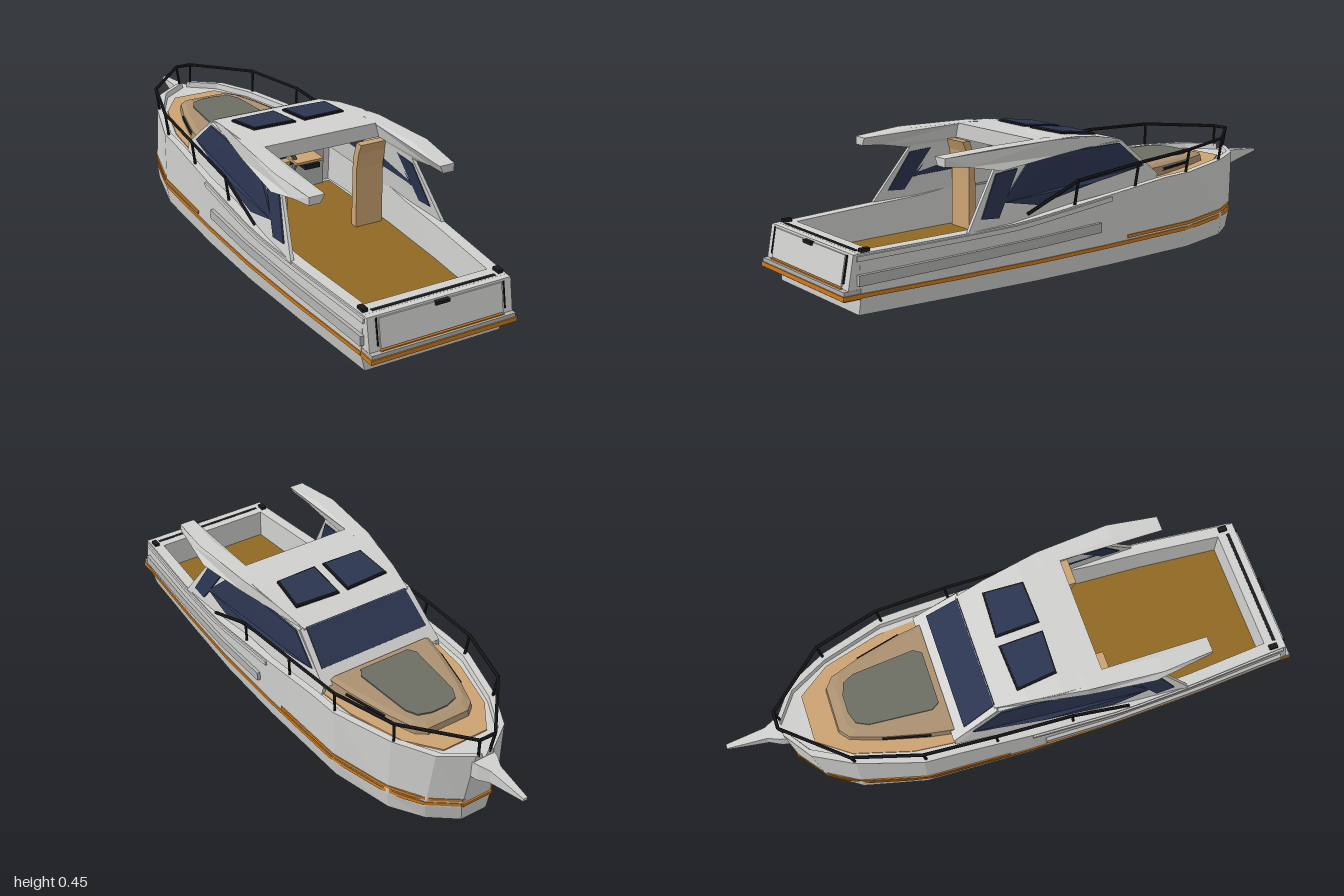
import * as THREE from 'three';

const mat = (name, color) => {
  const m = new THREE.MeshStandardMaterial({ color, flatShading: true, side: THREE.DoubleSide });
  m.name = name;
  return m;
};

// piecewise linear lookup in rows [z, a, b, ...] sorted by falling z
function look(table, z, col = 1) {
  if (z >= table[0][0]) return table[0][col];
  for (let i = 1; i < table.length; i++) {
    const p = table[i - 1], q = table[i];
    if (z >= q[0]) return p[col] + (q[col] - p[col]) * (p[0] - z) / (p[0] - q[0]);
  }
  return table[table.length - 1][col];
}

// hull half widths by station: z, bottom, waterline, gunwale
const HULL = [
  [0.94, 0.243, 0.258, 0.255], [0.6, 0.265, 0.28, 0.283], [0.3, 0.28, 0.292, 0.298],
  [0, 0.28, 0.29, 0.294], [-0.38, 0.265, 0.275, 0.275], [-0.6, 0.21, 0.217, 0.207],
  [-0.72, 0.14, 0.15, 0.135], [-0.79, 0.05, 0.058, 0.035],
];
const SHEER = [[0.95, 0.19], [0.4, 0.205], [0, 0.245], [-0.26, 0.268], [-0.82, 0.285]];
const sheer = z => look(SHEER, z);
const rake = (z, y) => (z < -0.7 ? z - (y - 0.14) * 0.1 : z);
function hullX(z, y) {
  const b = look(HULL, z, 1), m = look(HULL, z, 2), t = look(HULL, z, 3);
  return y < 0.06 ? b + (m - b) * y / 0.06 : m + (t - m) * (y - 0.06) / (sheer(z) - 0.06);
}
// cabin side surface, leaning inwards and narrowing forwards
const sideX = (z, y) => 0.28 - 0.2 * (y - 0.2) - Math.max(0, 0.1 - z) * 0.1;

// skin over closed cross-sections, with end caps
function loft(rings) {
  const n = rings[0].length, pos = rings.flat(2), idx = [];
  for (let i = 0; i < rings.length - 1; i++) for (let j = 0; j < n; j++) {
    const a = i * n + j, b = i * n + (j + 1) % n;
    idx.push(a, b, a + n, b, b + n, a + n);
  }
  [0, rings.length - 1].forEach((r, e) => {
    const c = pos.length / 3;
    for (let k = 0; k < 3; k++) pos.push(rings[r].reduce((s, p) => s + p[k], 0) / n);
    for (let j = 0; j < n; j++) {
      const a = r * n + j, b = r * n + (j + 1) % n;
      if (e) idx.push(c, a, b); else idx.push(c, b, a);
    }
  });
  const g = new THREE.BufferGeometry();
  g.setAttribute('position', new THREE.Float32BufferAttribute(pos, 3));
  g.setIndex(idx);
  g.computeVertexNormals();
  return g;
}

// flat outline extruded by depth, each vertex then placed by a rule (u, v, d) -> [x, y, z]
function plate(pts, depth, rule) {
  const shape = new THREE.Shape(pts.map(p => new THREE.Vector2(...p)));
  const g = new THREE.ExtrudeGeometry(shape, { depth, bevelEnabled: false });
  const p = g.attributes.position;
  for (let i = 0; i < p.count; i++) p.setXYZ(i, ...rule(p.getX(i), p.getY(i), p.getZ(i)));
  g.computeVertexNormals();
  return g;
}

// strip following the hull side between two heights
function band(z0, z1, y0, y1, off, steps = 24) {
  const rings = [];
  for (let i = 0; i <= steps; i++) {
    const z = z0 + (z1 - z0) * i / steps, a = y0(z), b = y1(z);
    const xa = hullX(z, a), xb = hullX(z, b);
    rings.push([[xa - 0.01, a, rake(z, a)], [xa + off, a, rake(z, a)],
      [xb + off, b, rake(z, b)], [xb - 0.01, b, rake(z, b)]]);
  }
  return loft(rings);
}

function rod(a, b, r) {
  const path = new THREE.LineCurve3(new THREE.Vector3(...a), new THREE.Vector3(...b));
  return new THREE.TubeGeometry(path, 1, r, 6);
}
const box = (x0, x1, y0, y1, z0, z1) => new THREE.BoxGeometry(x1 - x0, y1 - y0, z1 - z0)
  .translate((x0 + x1) / 2, (y0 + y1) / 2, (z0 + z1) / 2);

export function createModel() {
  const white = mat('white hull', 0xd0d0ce), grey = mat('grey trim', 0xb4b4b2);
  const orange = mat('orange stripe', 0xd07c1e), navy = mat('navy window', 0x2b3550);
  const wood = mat('dark wood floor', 0x8f6822), tan = mat('tan deck', 0xcca372);
  const taupe = mat('taupe coachroof', 0xab9171), glass = mat('smoked skylight', 0x6c6f64);
  const black = mat('black metal', 0x1b1b1d);

  const boat = new THREE.Group();
  boat.name = 'boat';
  const add = (name, g, m, parent = boat) => {
    const mesh = new THREE.Mesh(g, m);
    mesh.name = name;
    parent.add(mesh);
    return mesh;
  };
  const pair = (name, g, m) => {
    add(name + 'Left', g, m);
    add(name + 'Right', g, m).scale.x = -1;
  };

  // hull with gunwales, sunken cockpit and foredeck
  const station = (z, floorY) => {
    const s = sheer(z), t = hullX(z, s), g = z > 0 ? 0.04 : 0.025;
    const half = [[hullX(z, 0), 0], [hullX(z, 0.06), 0.06], [t, s],
      [Math.max(t - g, 0.01), s], [Math.max(t - g - 0.004, 0.008), floorY ?? s - 0.02]];
    const ring = half.map(([x, y]) => [x, y, rake(z, y)]);
    return ring.concat(ring.map(([x, y, zz]) => [-x, y, zz]).reverse());
  };
  const F = 0.083;
  add('hull', loft([station(0.94, sheer(0.94)), station(0.89, sheer(0.89)),
    ...[0.89, 0.6, 0.4, 0.3, 0, -0.12].map(z => station(z, F)),
    ...[-0.12, -0.26, -0.38, -0.6, -0.72, -0.79].map(z => station(z))]), white);
  add('cockpitFloor', plate([[0.215, 0.89], [0.238, 0.6], [0.252, 0.3], [0.25, -0.1],
    [-0.25, -0.1], [-0.252, 0.3], [-0.238, 0.6], [-0.215, 0.89]], 0.004, (x, z, d) => [x, F + d, z]), wood);

  // stripes, rubbing strakes and gunwale lip
  const low = z => 0.057 + (0.95 - z) * 0.006;
  pair('lowerStripe', band(0.94, -0.79, low, z => low(z) + 0.013, 0.004), orange);
  pair('upperStripe', band(-0.08, -0.79, z => low(z) + 0.02, z => low(z) + 0.031, 0.004), orange);
  add('bowStripe', box(-0.058, 0.058, 0.069, 0.08, -0.79, -0.78), orange);
  const strake = z => 0.095 + (0.95 - z) * 0.033;
  pair('rubbingStrake', band(0.95, 0.05, strake, z => strake(z) + 0.033, 0.012), grey);
  pair('gunwaleLip', band(0.95, 0.0, z => sheer(z) - 0.022, z => sheer(z) - 0.006, 0.006), white);

  // transom and swim platform
  add('transom', plate([[0.93, 0.05], [0.98, 0.055], [0.98, 0.085], [0.96, 0.19], [0.93, 0.19]], 0.51,
    (z, y, d) => [d - 0.255, y, z]), white);
  add('transomPanel', plate([[0.978, 0.09], [0.984, 0.09], [0.966, 0.183], [0.96, 0.183]], 0.436,
    (z, y, d) => [d - 0.218, y, z]), white);
  pair('transomSlot', rod([0.226, 0.1, 0.98], [0.226, 0.185, 0.963], 0.003), black);
  add('transomGroove', box(-0.22, 0.22, 0.189, 0.192, 0.922, 0.934), black);
  add('transomLatch', box(-0.025, 0.025, 0.174, 0.185, 0.955, 0.974), black);
  add('swimPlatform', box(-0.256, 0.256, 0.052, 0.083, 0.93, 0.996), grey);
  add('platformTrim', box(-0.26, 0.26, 0.055, 0.07, 0.935, 1.0), orange);
  add('platformLine', box(-0.22, 0.22, 0.083, 0.087, 0.975, 0.988), orange);
  pair('sternCleat', box(0.232, 0.25, 0.19, 0.202, 0.9, 0.93), black);

  // cabin sides and windows
  const side = (pts, thick) => plate(pts, thick, (z, y, d) => [sideX(z, y) + d - thick / 2, y, z]);
  pair('cabinSide', side([[0.58, 0.19], [0.56, 0.22], [0.44, 0.39], [0.3, 0.405], [-0.1, 0.405],
    [-0.26, 0.275], [-0.26, 0.24], [0, 0.21], [0.3, 0.19]], 0.012), white);
  pair('sideWindow', side([[0.43, 0.275], [0.31, 0.388], [0.2, 0.4], [-0.09, 0.4], [-0.195, 0.312],
    [0.05, 0.288], [0.3, 0.25]], 0.02), navy);
  pair('quarterWindow', side([[0.52, 0.235], [0.445, 0.365], [0.36, 0.372], [0.455, 0.23]], 0.02), navy);

  // windshield and its sill
  const slope = (z0, z1, w0, w1, t) => loft([[z0, w0], [z1, w1]].map(([z, w]) => {
    const y = 0.405 + (z + 0.1) * 0.844;
    return [[-w, y, z], [w, y, z], [w, y + t, z - t], [-w, y + t, z - t]];
  }));
  add('windshieldFrame', slope(-0.1, -0.26, 0.222, 0.236, 0.004), white);
  add('windshield', slope(-0.1, -0.213, 0.2, 0.212, 0.007), navy);
  add('windshieldInside', slope(-0.1, -0.213, 0.2, 0.212, -0.003), navy);

  // roof with rear wings
  const roofRing = (z, w, lo, hi) => [[-w, lo, z], [w, lo, z], [w, hi, z], [-w, hi, z]];
  add('roof', loft([roofRing(0.265, 0.25, 0.397, 0.449), roofRing(0.12, 0.245, 0.4, 0.446),
    roofRing(0, 0.23, 0.404, 0.432), roofRing(-0.11, 0.21, 0.404, 0.41)]), white);
  const WING = [[0.64, 0.262], [0.45, 0.283], [0.2, 0.262], [-0.1, 0.213]];
  pair('roofWing', plate([[0.64, 0.437], [0.46, 0.449], [0.2, 0.449], [0, 0.432], [-0.1, 0.41],
    [0.2, 0.397], [0.44, 0.378], [0.56, 0.402], [0.64, 0.41]], 0.05,
  (z, y, d) => [look(WING, z) - (0.05 - d) * (y < 0.42 ? 0.8 : 1.1), y, z]), white);
  const roofY = z => 0.446 + Math.min(0, (z - 0.12) * 0.117);
  const hatch = (i, name, m, h) => pair(name, plate([[0.016 + i, 0.125 - i], [0.172 - i, 0.12 - i],
    [0.184 - i, -0.022 + i], [0.016 + i, -0.03 + i]], h, (x, z, d) => [x, roofY(z) + d, z]), m);
  hatch(0, 'roofHatchFrame', black, 0.006);
  hatch(0.006, 'roofHatchGlass', navy, 0.009);

  // cabin interior
  add('dashboard', box(-0.22, 0.22, F, 0.3, -0.2, -0.09), grey);
  pair('cabinPanel', plate([[0.25, F], [0.28, F], [0.275, 0.3], [0.285, 0.36], [0.3, 0.396], [0.27, 0.396],
    [0.25, 0.33]], 0.104, (z, y, d) => [0.133 + d, y, z]), tan);
  pair('sideTable', box(0.025, 0.132, 0.252, 0.261, -0.09, 0.06), tan);
  pair('tableBracket', box(0.07, 0.13, 0.219, 0.236, -0.09, 0.04), black);
  add('helmBar', box(-0.075, 0.075, 0.236, 0.252, -0.09, -0.02), black);
  const helm = new THREE.Group();
  helm.name = 'steeringWheel';
  helm.position.set(0, 0.247, 0.02);
  boat.add(helm);
  add('wheelRim', new THREE.TorusGeometry(0.044, 0.009, 6, 8), glass, helm);
  for (let i = 0; i < 4; i++) {
    add('wheelSpoke', new THREE.ConeGeometry(0.011, 0.053, 4).translate(0, 0.0265, 0), black, helm)
      .rotation.z = i * Math.PI / 2;
  }

  // foredeck pad, coachroof and skylight
  const mirror = half => half.concat(half.map(([x, z]) => [-x, z]).reverse());
  add('foredeckPad', plate(mirror([[0.236, -0.25], [0.222, -0.4], [0.165, -0.6], [0.085, -0.71]]), 0.005,
    (x, z, d) => [x, sheer(z) - 0.02 + d, z]), tan);
  const trunk = mirror([[0.205, -0.25], [0.19, -0.34], [0.15, -0.5], [0.115, -0.6], [0.08, -0.628]]);
  const level = (k, y) => trunk.map(([x, z]) => [x * k, y, -0.25 + (z + 0.25) * k]);
  add('coachroof', loft([level(1, 0.25), level(0.98, 0.285), level(0.9, 0.293)]), taupe);
  pair('coachroofStrip', rod([0.191, 0.274, -0.33], [0.151, 0.276, -0.49], 0.005), black);
  add('skylight', plate(mirror([[0.095, -0.272], [0.113, -0.3], [0.095, -0.52], [0.075, -0.56], [0.03, -0.575]]),
    0.008, (x, z, d) => [x, 0.29 + d, z]), glass);

  // bowsprit
  add('bowsprit', loft([[-0.77, 0.05, 0.2, 0.262], [-0.82, 0.038, 0.2, 0.262], [-0.86, 0.02, 0.21, 0.258],
    [-1, 0.008, 0.238, 0.248]].map(([z, w, lo, hi]) => roofRing(z, w, lo, hi))), white);

  // guard rails and posts
  const rail = [[0.293, 0.23, 0.35], [0.29, 0.31, 0.14], [0.284, 0.335, -0.13], [0.271, 0.35, -0.38],
    [0.205, 0.357, -0.61], [0.03, 0.352, -0.81]];
  for (let i = 0; i < rail.length - 1; i++) {
    pair('guardRail', rod(rail[i], rail[i + 1], 0.006), black);
    const [x, y, z] = rail[i + 1];
    pair('railPost', rod([x, y, z], [x - 0.008, sheer(z) - 0.01, z + 0.01], 0.005), black);
  }
  add('bowRail', rod([-0.03, 0.352, -0.81], [0.03, 0.352, -0.81], 0.006), black);
  return boat;
}
